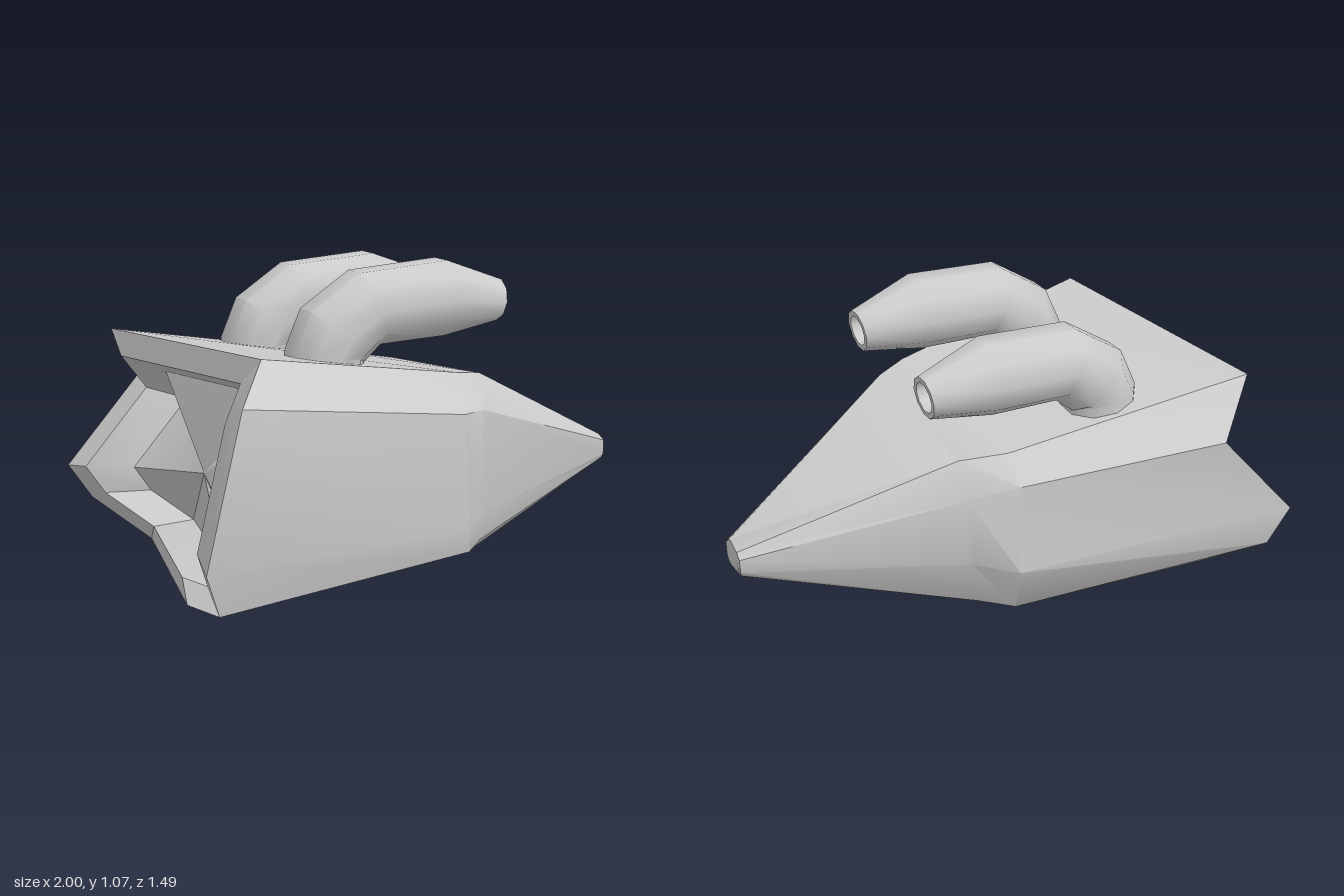
import * as THREE from 'three';
import { toCreasedNormals } from 'three/addons/utils/BufferGeometryUtils.js';

const centre = (ring) => ring.reduce((s, p) => s.add(p), new THREE.Vector3()).divideScalar(ring.length);
const toRing = (rows) => rows.map((p) => new THREE.Vector3(...p));

// Skin a row of rings (counterclockwise seen from the front end) and cap both ends
function loft(rings, crease) {
  const pos = [];
  const tri = (...pts) => pts.forEach((p) => pos.push(p.x, p.y, p.z));
  const n = rings[0].length;
  for (let r = 0; r < rings.length - 1; r++) {
    const a = rings[r], b = rings[r + 1];
    for (let i = 0; i < n; i++) {
      const j = (i + 1) % n;
      tri(a[i], a[j], b[j]);
      tri(a[i], b[j], b[i]);
    }
  }
  const first = rings[0], last = rings[rings.length - 1];
  const c0 = centre(first), c1 = centre(last);
  for (let i = 0; i < n; i++) {
    const j = (i + 1) % n;
    tri(c0, first[j], first[i]);
    tri(c1, last[i], last[j]);
  }
  const geometry = new THREE.BufferGeometry();
  geometry.setAttribute('position', new THREE.Float32BufferAttribute(pos, 3));
  return toCreasedNormals(geometry, crease);
}

// Ring of a pipe lying in the local xy plane; tilt is measured from straight up
function pipeRing(x, y, tilt, radius, sides = 10) {
  const ring = [];
  for (let i = 0; i < sides; i++) {
    const a = ((i + 0.5) / sides) * Math.PI * 2;
    const u = Math.cos(a) * radius;
    ring.push(new THREE.Vector3(x - u * Math.cos(tilt), y + u * Math.sin(tilt), Math.sin(a) * radius));
  }
  return ring;
}

export function createModel() {
  const model = new THREE.Group();
  const grey = new THREE.MeshStandardMaterial({ color: 0xcccccc, side: THREE.DoubleSide });
  const add = (name, geometry) => {
    const mesh = new THREE.Mesh(geometry, grey);
    mesh.name = name;
    model.add(mesh);
    return mesh;
  };

  // Hull sections, each from the top edge down one side, under, and up the other
  const rear = toRing([
    [-0.65, 0.83, 0.35], [-0.85, 0.72, 0.44], [-1, 0.23, 0.42], [-0.93, 0.08, 0.41], [-0.91, 0.08, 0.26],
    [-0.3, 0, -0.46], [-0.36, 0.13, -0.7], [-0.43, 0.26, -0.75], [-0.17, 0.6, -0.61], [-0.36, 0.78, -0.58],
  ]);
  const shoulder = toRing([
    [0.08, 0.7, 0.61], [-0.03, 0.59, 0.71], [-0.03, 0.2, 0.74], [0, 0.11, 0.72], [0.08, 0.07, 0.64],
    [0.33, 0.015, -0.03], [0.38, 0.04, -0.1], [0.46, 0.25, -0.18], [0.42, 0.56, -0.16], [0.37, 0.64, -0.07],
  ]);
  const neck = toRing([
    [0.2, 0.68, 0.62], [0.1, 0.58, 0.7], [0.1, 0.22, 0.705], [0.12, 0.12, 0.69], [0.16, 0.07, 0.64],
    [0.41, 0.02, 0.07], [0.45, 0.06, 0.02], [0.52, 0.26, -0.02], [0.51, 0.5, 0], [0.48, 0.62, 0.06],
  ]);
  const nose = toRing([
    [0.94, 0.33, 0.7], [0.935, 0.31, 0.725], [0.935, 0.26, 0.725], [0.94, 0.24, 0.715], [0.945, 0.23, 0.7],
    [0.98, 0.23, 0.62], [0.99, 0.24, 0.61], [1, 0.26, 0.6], [1, 0.31, 0.6], [0.99, 0.33, 0.62],
  ]);

  // Recess in the rear face: an inner lip and a floor set further in
  const middle = centre(rear);
  const shrink = (k, inset) => rear.map((p) => p.clone().lerp(middle, k).addScaledVector(inset, 1));
  const lip = shrink(0.2, new THREE.Vector3(0, 0, 0));
  const floor = shrink(0.3, new THREE.Vector3(0.14, -0.02, 0.06));
  add('hull', loft([floor, lip, rear, shoulder, neck, nose], 0.55));

  // Two matching bent pipes on the deck, hollow at the mouth
  const bend = loft([
    pipeRing(0, -0.09, 0, 0.135),
    pipeRing(0, 0.03, 0.1, 0.135),
    pipeRing(0.03, 0.09, 0.75, 0.14),
    pipeRing(0.15, 0.175, 1.25, 0.135),
    pipeRing(0.44, 0.19, 1.6, 0.135),
    pipeRing(0.667, 0.165, 1.68, 0.075),
    pipeRing(0.667, 0.165, 1.68, 0.055),
    pipeRing(0.55, 0.175, 1.68, 0.055),
  ], 0.75);
  [['leftPipe', -0.26, 0.75, 0.3], ['rightPipe', -0.035, 0.71, -0.165]].forEach(([name, x, y, z]) => {
    const pipe = add(name, bend);
    pipe.position.set(x, y, z);
    pipe.rotation.y = -0.45;
  });

  return model;
}
